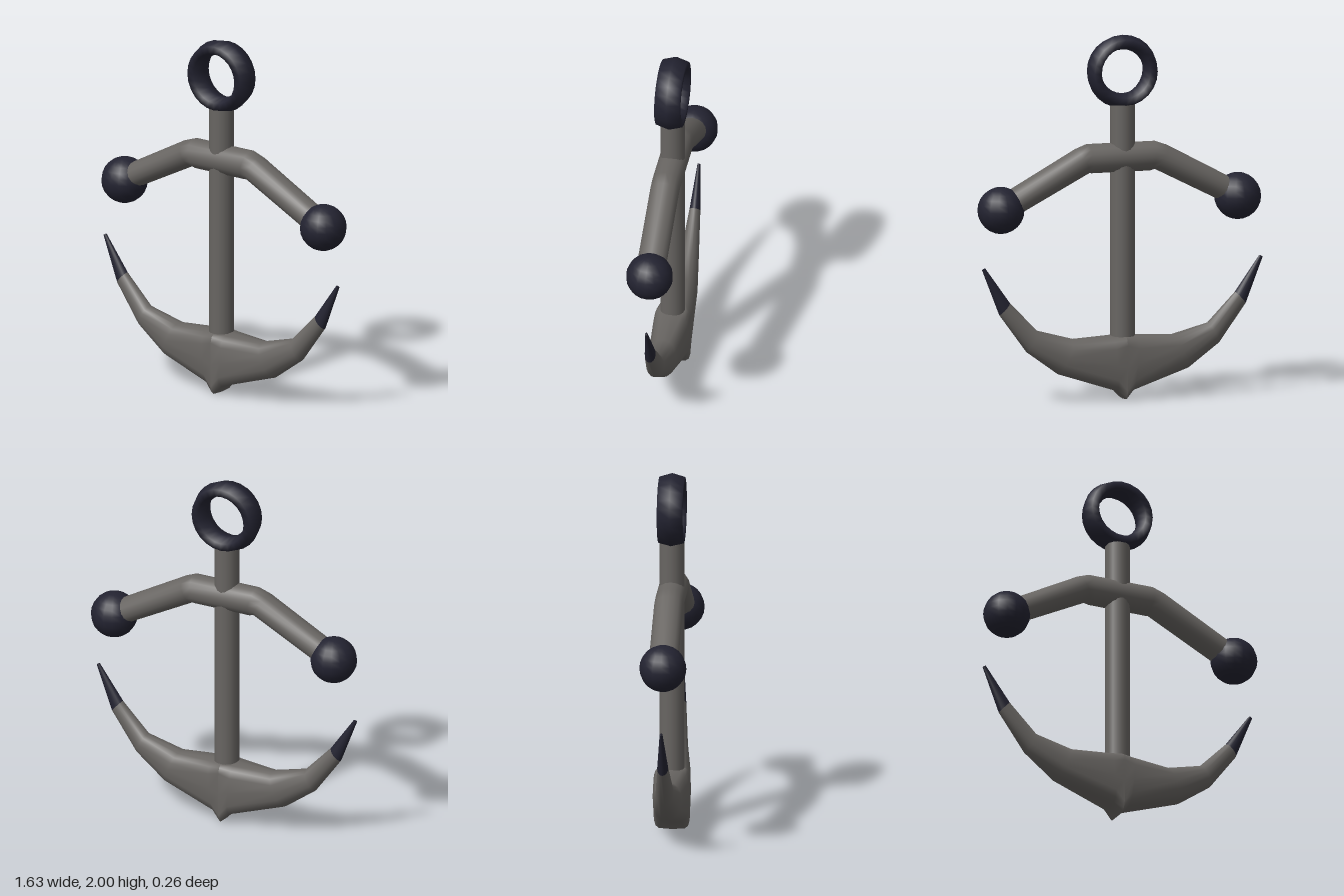
import * as THREE from 'three';

const CX = -0.01; // centre line of shank, ring and arms
const SIDES = 16;

// Skin through sections running towards +x: [topX, topY, bottomX, bottomY, halfDepth, squareness]
function loft(sections) {
  const pos = [], index = [];
  const soft = (v, e) => Math.sign(v) * Math.pow(Math.abs(v), e);
  for (const [tx, ty, bx, by, w, e = 1] of sections) {
    for (let j = 0; j < SIDES; j++) {
      const t = (j / SIDES) * Math.PI * 2;
      const c = soft(Math.cos(t), e), s = soft(Math.sin(t), e);
      pos.push((tx + bx) / 2 + c * (tx - bx) / 2, (ty + by) / 2 + c * (ty - by) / 2, s * w);
    }
  }
  for (let i = 0; i < sections.length - 1; i++) {
    for (let j = 0; j < SIDES; j++) {
      const k = (j + 1) % SIDES;
      const a = i * SIDES + j, b = i * SIDES + k;
      index.push(a, b, a + SIDES, b, b + SIDES, a + SIDES);
    }
  }
  const g = new THREE.BufferGeometry();
  g.setAttribute('position', new THREE.Float32BufferAttribute(pos, 3));
  g.setIndex(index);
  g.computeVertexNormals();
  return g;
}

// Place half-arm sections on one side of the centre line
function sideSections(sections, side) {
  const out = sections.map(([tx, ty, bx, by, w, e]) => [CX + side * tx, ty, CX + side * bx, by, w, e]);
  return side > 0 ? out : out.reverse();
}

export function createModel() {
  const group = new THREE.Group();
  const iron = new THREE.MeshStandardMaterial({ color: 0x686562 });
  iron.name = 'grey iron';
  const dark = new THREE.MeshStandardMaterial({ color: 0x232331 });
  dark.name = 'dark navy';

  const add = (name, geometry, material, x = 0, y = 0) => {
    const mesh = new THREE.Mesh(geometry, material);
    mesh.name = name;
    mesh.position.set(x, y, 0);
    group.add(mesh);
    return mesh;
  };

  // Broad ring with a six-sided section
  add('ring', new THREE.TorusGeometry(0.16, 0.04, 6, 24), dark, CX, 1.8).scale.z = 2;

  // Upright shank
  add('shank', new THREE.CylinderGeometry(0.068, 0.068, 1.46, 16), iron, CX, 0.91);

  // Bent crossbar with ball ends
  add('stock', loft([
    [-0.62, 1.195, -0.70, 1.0, 0.08],
    [-0.265, 1.385, -0.19, 1.258, 0.08],
    [-0.195, 1.41, -0.165, 1.248, 0.08],
    [0.19, 1.41, 0.165, 1.248, 0.08],
    [0.255, 1.385, 0.185, 1.25, 0.08],
    [0.72, 1.13, 0.64, 1.015, 0.08],
  ]), iron);
  add('rightBall', new THREE.SphereGeometry(0.128, 16, 12), dark, -0.67, 1.087);
  add('leftBall', new THREE.SphereGeometry(0.128, 16, 12), dark, 0.685, 1.069);

  // Curved arms meeting in a keel, with dark pointed tips
  const base = [0.645, 0.56, 0.705, 0.495, 0.03];
  const arm = [
    [0, 0.355, 0, 0.005, 0.1, 0.35],
    [0.07, 0.355, 0.045, 0.05, 0.1, 0.6],
    [0.285, 0.345, 0.37, 0.155, 0.078, 0.9],
    [0.49, 0.4, 0.55, 0.285, 0.05],
    base,
  ];
  const tip = [
    base,
    [0.785, 0.755, 0.803, 0.745, 0.008],
    [0.795, 0.752, 0.795, 0.752, 0],
  ];
  for (const [name, side] of [['left', 1], ['right', -1]]) {
    add(name + 'Arm', loft(sideSections(arm, side)), iron);
    add(name + 'Tip', loft(sideSections(tip, side)), dark);
  }
  return group;
}
